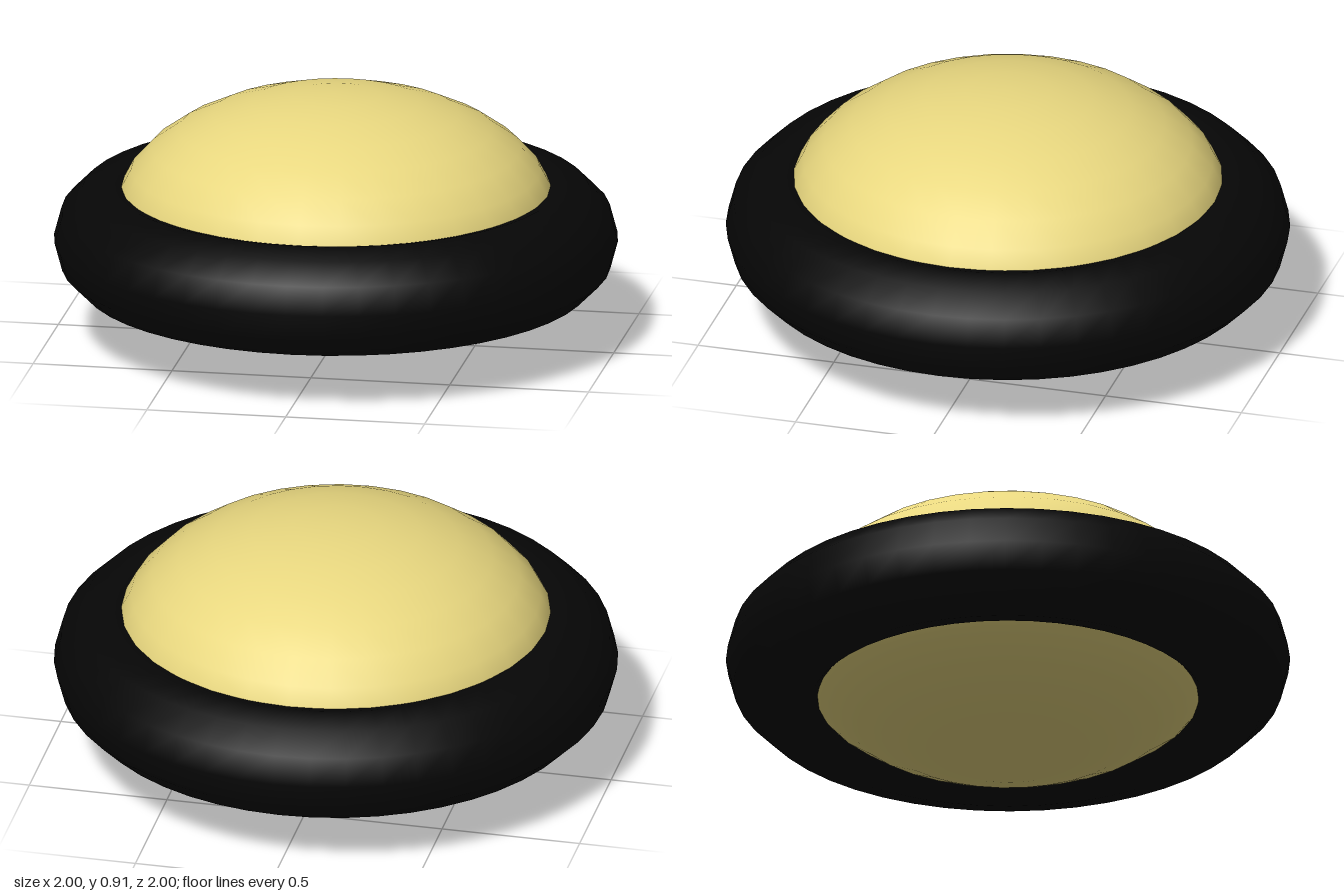
import * as THREE from 'three';

export function createModel() {
  const model = new THREE.Group();

  const add = (name, geometry, color, y) => {
    const mesh = new THREE.Mesh(geometry, new THREE.MeshStandardMaterial({ color }));
    mesh.name = name;
    mesh.position.y = y;
    model.add(mesh);
  };

  // Flattened ball
  add('body', new THREE.SphereGeometry(1, 32, 16).scale(0.787, 0.454, 0.787), 0xe8d77f, 0.454);

  // Thick ring around the waist
  add('ring', new THREE.TorusGeometry(0.8, 0.2, 12, 48).rotateX(-Math.PI / 2), 0x060606, 0.374);

  return model;
}
